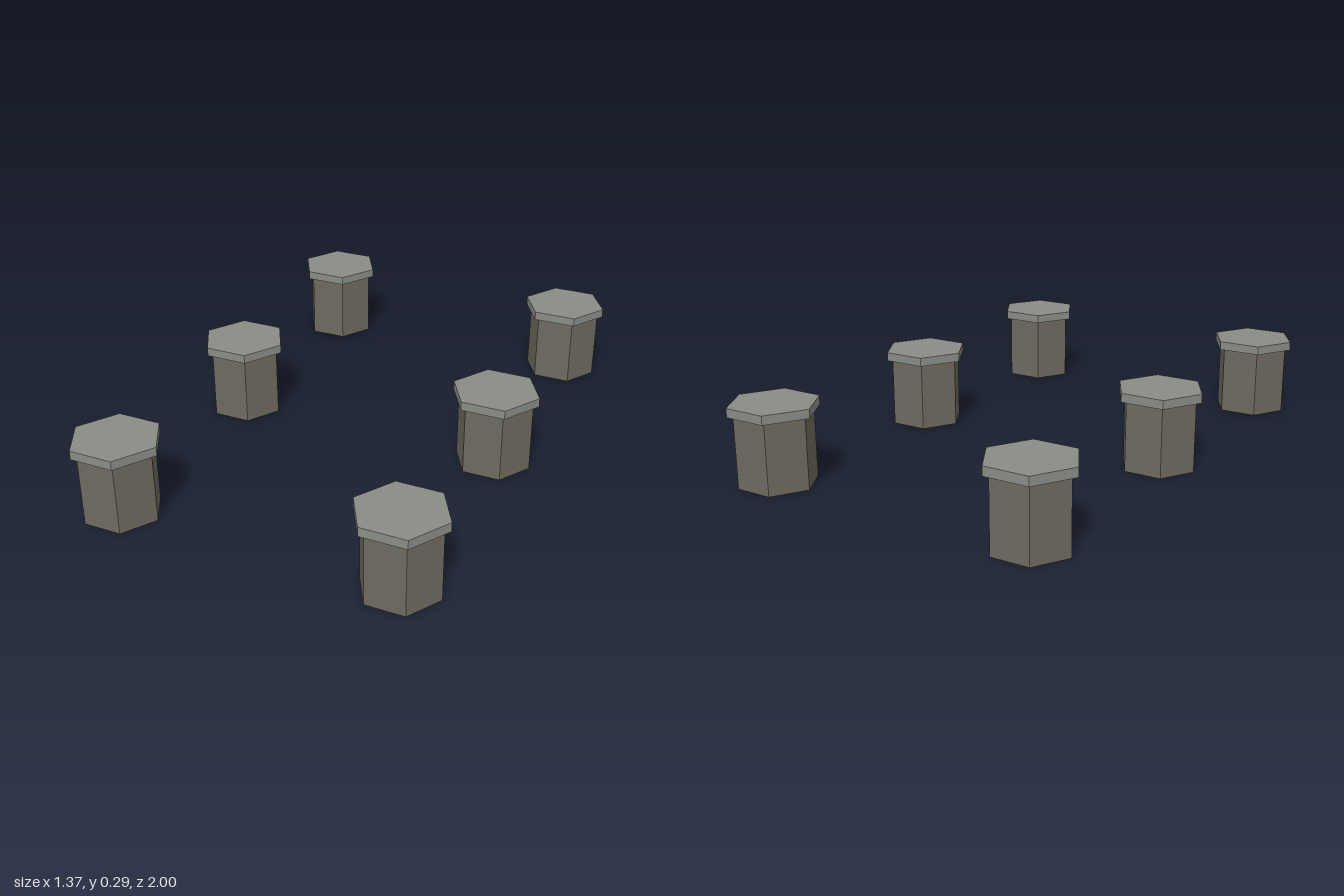
import * as THREE from 'three';

// Upright hexagonal prism with corners pointing along x
function hexPrism(name, radius, y0, y1, material) {
  const geometry = new THREE.CylinderGeometry(radius, radius, y1 - y0, 6, 1, false, Math.PI / 6);
  const mesh = new THREE.Mesh(geometry, material);
  mesh.name = name;
  mesh.position.y = (y0 + y1) / 2;
  return mesh;
}

export function createModel() {
  const model = new THREE.Group();
  model.name = 'hexagonalPosts';
  const bodyMaterial = new THREE.MeshStandardMaterial({ color: 0x6e6a60, flatShading: true });
  const capMaterial = new THREE.MeshStandardMaterial({ color: 0x8a8d86, flatShading: true });

  // Two rows of three capped posts
  for (const x of [-0.522, 0.522]) {
    for (const z of [-0.859, 0, 0.859]) {
      const post = new THREE.Group();
      post.name = 'post';
      post.position.set(x, 0, z);
      post.add(
        hexPrism('postBody', 0.142, 0, 0.262, bodyMaterial),
        hexPrism('postCap', 0.163, 0.262, 0.295, capMaterial)
      );
      model.add(post);
    }
  }
  return model;
}
